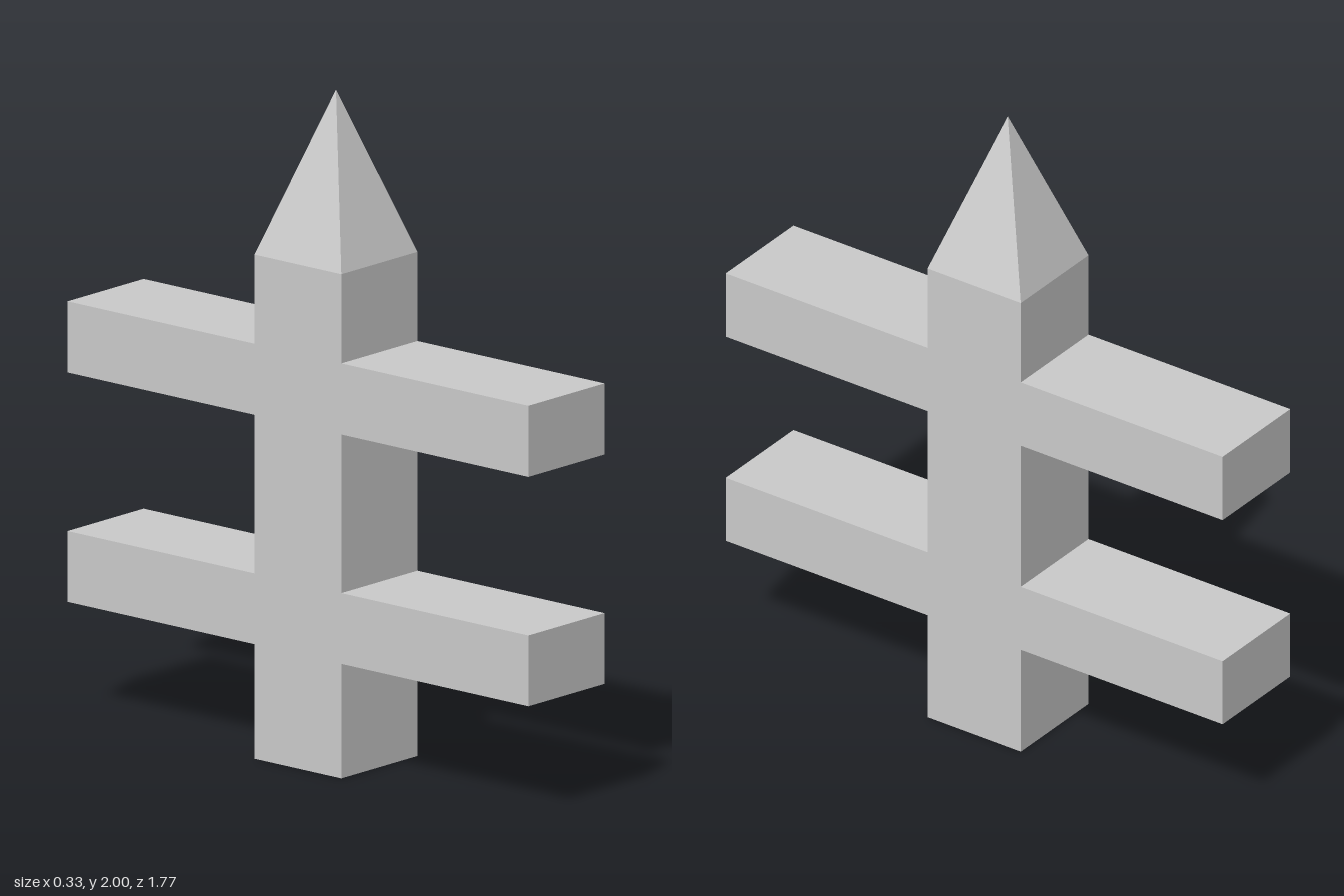
import * as THREE from 'three';

const HALF = 0.167;          // half width of the square post
const REACH = 0.887;         // half length of the rails
const SHOULDER = 1.51;       // where the pointed tip begins
const TOP = 2;
const RAILS = [[0.343, 0.555], [1.03, 1.243]]; // bottom and top of each rail

export function createModel() {
  const group = new THREE.Group();
  const material = new THREE.MeshStandardMaterial({ color: 0xcccccc, flatShading: true });

  // Post and rails share flush sides, so they are one extruded outline
  const side = [[HALF, 0]];
  for (const [low, high] of RAILS) {
    side.push([HALF, low], [REACH, low], [REACH, high], [HALF, high]);
  }
  side.push([HALF, SHOULDER]);
  const mirrored = side.map(([z, y]) => [-z, y]).reverse();
  const outline = new THREE.Shape([...side, ...mirrored].map(([z, y]) => new THREE.Vector2(z, y)));
  const bodyGeometry = new THREE.ExtrudeGeometry(outline, { depth: 2 * HALF, bevelEnabled: false });
  bodyGeometry.translate(0, 0, -HALF).rotateY(-Math.PI / 2);
  const body = new THREE.Mesh(bodyGeometry, material);
  body.name = 'postWithRails';
  group.add(body);

  // Four-sided pointed tip
  const tipGeometry = new THREE.ConeGeometry(HALF * Math.SQRT2, TOP - SHOULDER, 4, 1, true);
  tipGeometry.rotateY(Math.PI / 4);
  const tip = new THREE.Mesh(tipGeometry, material);
  tip.name = 'pointedTip';
  tip.position.y = (SHOULDER + TOP) / 2;
  group.add(tip);

  return group;
}
